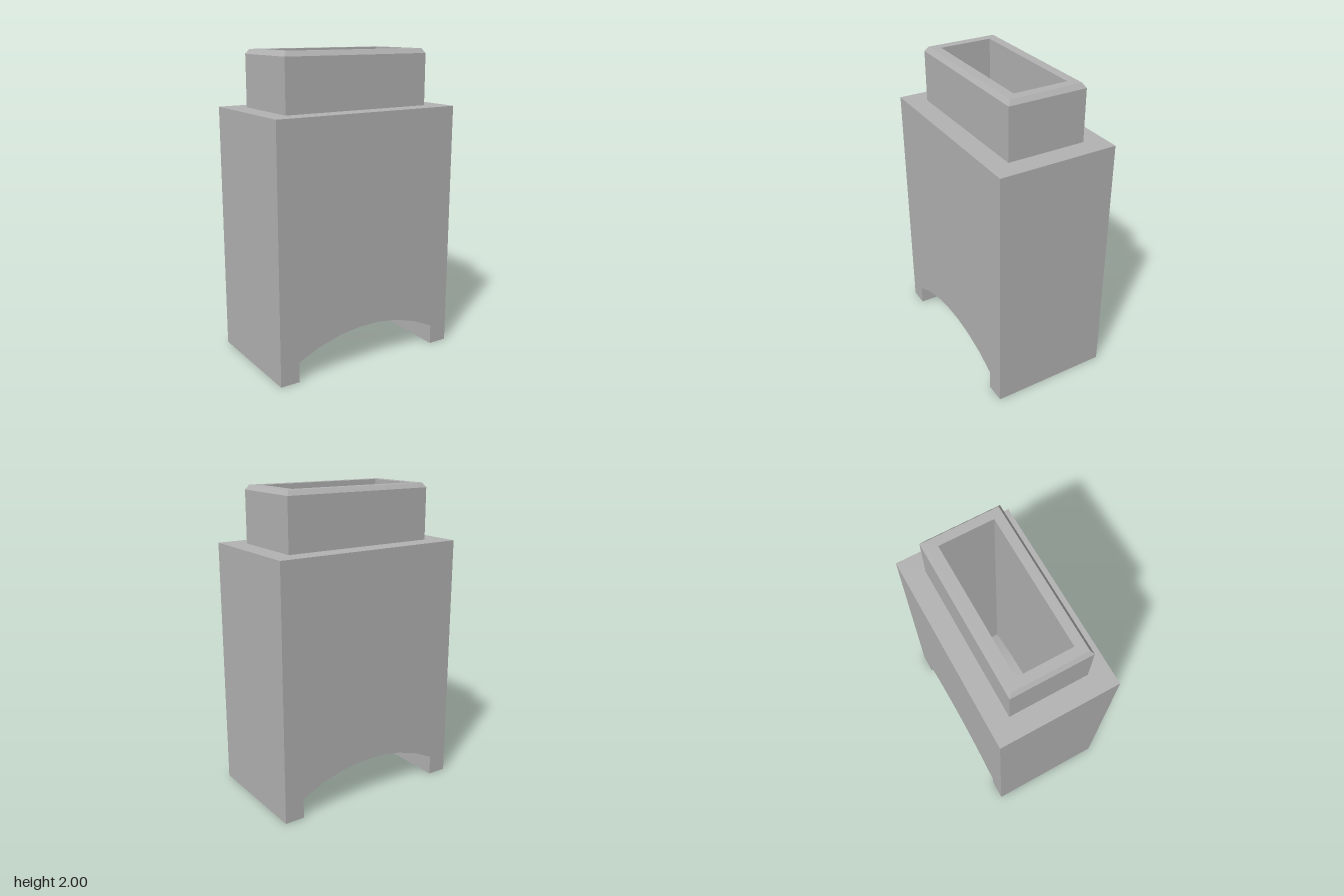
import * as THREE from 'three';
import { toCreasedNormals } from 'three/addons/utils/BufferGeometryUtils.js';

const HALF_W = 0.65, HALF_D = 0.388, SHOULDER = 1.635;

// Surface from a list of four-cornered faces, corners counter-clockwise from outside
function quadSurface(quads) {
  const pos = [];
  for (const [a, b, c, d] of quads) pos.push(...a, ...b, ...c, ...a, ...c, ...d);
  const geo = new THREE.BufferGeometry();
  geo.setAttribute('position', new THREE.Float32BufferAttribute(pos, 3));
  return toCreasedNormals(geo, 0.4);
}

// Strip following an xy path, running from +depth to -depth in z
function strip(path, depth) {
  return quadSurface(path.slice(1).map((q, i) => {
    const p = path[i];
    return [[...p, depth], [...p, -depth], [...q, -depth], [...q, depth]];
  }));
}

// Skin over rectangular rings given as [half width, half depth, height]
function rectangleLoft(rings) {
  const corners = ([w, d, y]) => [[w, y, d], [w, y, -d], [-w, y, -d], [-w, y, d]];
  const quads = [];
  for (let r = 1; r < rings.length; r++) {
    const a = corners(rings[r - 1]), b = corners(rings[r]);
    for (let i = 0; i < 4; i++) {
      const j = (i + 1) % 4;
      quads.push([a[i], a[j], b[j], b[i]]);
    }
  }
  return quadSurface(quads);
}

// Shallow arc from -halfWidth to +halfWidth around a centre below the model
function arc(radius, halfWidth, segments) {
  const half = Math.asin(halfWidth / radius);
  return Array.from({ length: segments + 1 }, (_, i) => {
    const t = -half + (2 * half * i) / segments;
    return [radius * Math.sin(t), radius * Math.cos(t) - 0.805];
  });
}

export function createModel() {
  const model = new THREE.Group();
  const grey = new THREE.MeshStandardMaterial({ color: 0xb3b3b3 });
  grey.name = 'grey';
  const add = (name, geometry, parent = model) => {
    const mesh = new THREE.Mesh(geometry, grey);
    mesh.name = name;
    parent.add(mesh);
    return mesh;
  };

  // Body outline with the arched underside between two feet
  const outline = [
    [-HALF_W, SHOULDER], [-HALF_W, 0], [-0.52, 0],
    ...arc(1.07, 0.52, 7),
    [0.52, 0], [HALF_W, 0], [HALF_W, SHOULDER],
  ];
  const body = new THREE.Group();
  body.name = 'body';
  model.add(body);
  const shape = new THREE.Shape(outline.map(([x, y]) => new THREE.Vector2(x, y)));
  add('frontFace', new THREE.ShapeGeometry(shape).translate(0, 0, HALF_D), body);
  add('backFace', new THREE.ShapeGeometry(shape).rotateY(Math.PI).translate(0, 0, -HALF_D), body);
  add('sidesAndArch', strip(outline, HALF_D), body);

  // Shoulder, chamfered collar and the walls of the deep pocket
  add('collarAndPocket', rectangleLoft([
    [HALF_W, HALF_D, SHOULDER],
    [0.516, 0.256, SHOULDER],
    [0.516, 0.256, 1.97],
    [0.496, 0.236, 2],
    [0.436, 0.176, 2],
    [0.436, 0.176, 0.275],
  ]));

  // Curved pocket floor following the arch
  add('pocketFloor', strip(arc(1.17, 0.436, 7).reverse(), 0.176));

  return model;
}
